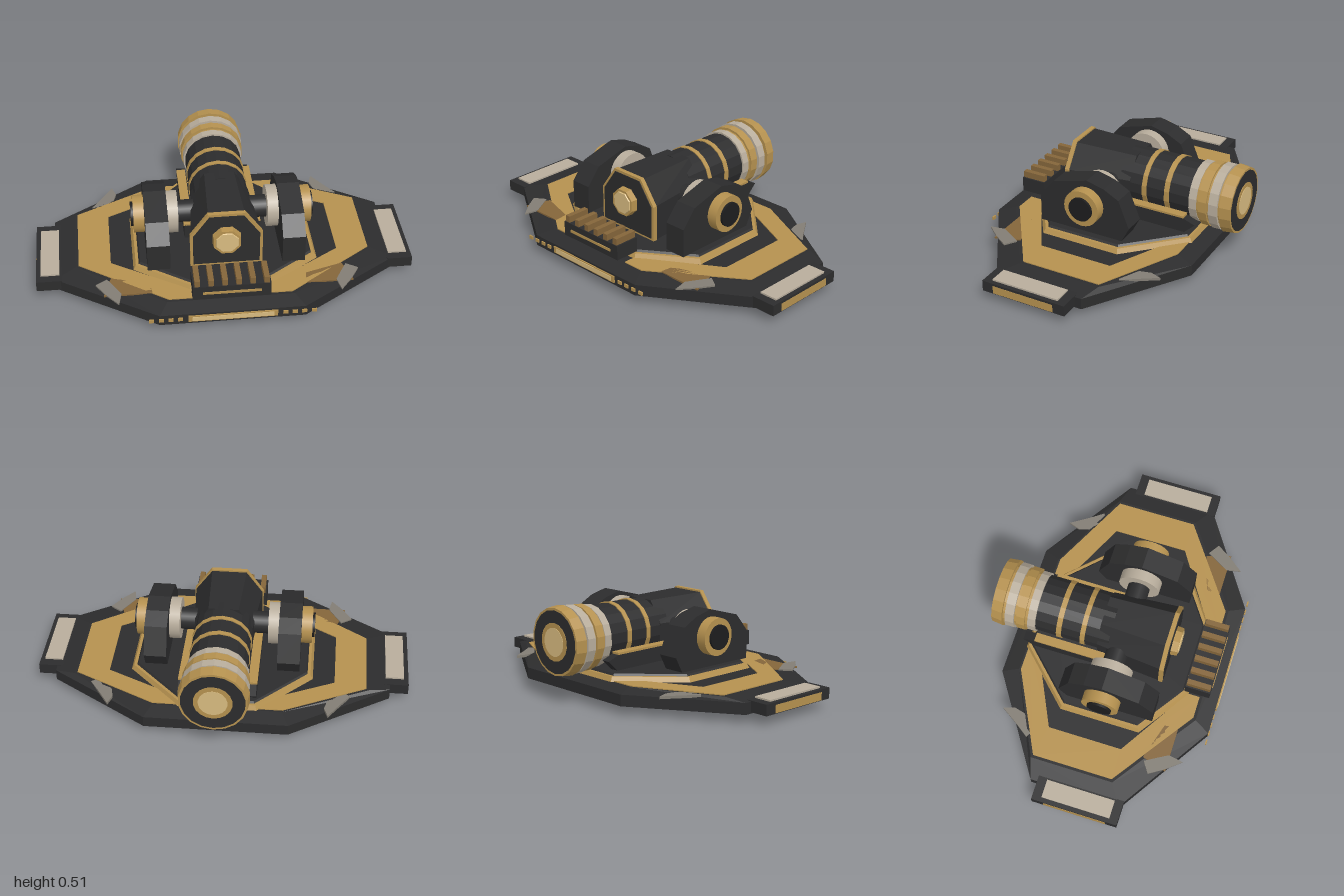
import * as THREE from 'three';

const mat = (name, color) => {
  const m = new THREE.MeshStandardMaterial({ color });
  m.name = name;
  return m;
};

export function createModel() {
  const charcoal = mat('charcoal', 0x2c2c2d);
  const black = mat('black', 0x1d1d1e);
  const gold = mat('gold', 0xb5914f);
  const bronze = mat('bronze', 0x84653a);
  const paleGold = mat('pale gold', 0xd8bb80);
  const cream = mat('cream', 0xb8ad9c);
  const stone = mat('stone', 0x827d74);
  const model = new THREE.Group();
  model.name = 'turret';

  const add = (name, geometry, material, x = 0, y = 0, z = 0) => {
    const mesh = new THREE.Mesh(geometry, material);
    mesh.name = name;
    mesh.position.set(x, y, z);
    model.add(mesh);
    return mesh;
  };
  const box = (name, m, w, h, d, x, y, z) => add(name, new THREE.BoxGeometry(w, h, d), m, x, y, z);

  // Stack of mirrored convex outlines; each section is [height, half outline of (x, z) from back to front]
  const loft = (sections) => {
    const rings = sections.map(([y, half]) => [
      ...half.map(([x, z]) => [x, y, z]),
      ...half.map(([x, z]) => [-x, y, z]).reverse(),
    ]);
    const out = [];
    const n = rings[0].length;
    for (let s = 0; s < rings.length - 1; s++) {
      for (let i = 0; i < n; i++) {
        const j = (i + 1) % n;
        const [a, b, c, d] = [rings[s][i], rings[s + 1][i], rings[s + 1][j], rings[s][j]];
        out.push(...a, ...b, ...c, ...a, ...c, ...d);
      }
    }
    const low = rings[0];
    const top = rings[rings.length - 1];
    for (let i = 1; i < n - 1; i++) {
      out.push(...low[0], ...low[i], ...low[i + 1], ...top[0], ...top[i + 1], ...top[i]);
    }
    const g = new THREE.BufferGeometry();
    g.setAttribute('position', new THREE.Float32BufferAttribute(out, 3));
    g.computeVertexNormals();
    return g;
  };
  const extrude = (points, depth) => new THREE.ExtrudeGeometry(
    new THREE.Shape(points.map(([a, b]) => new THREE.Vector2(a, b))), { depth, bevelEnabled: false });
  // Side profile of (z, y) points, extruded along x
  const sidePlate = (points, x0, x1) =>
    extrude(points.map(([z, y]) => [-z, y]), x1 - x0).rotateY(Math.PI / 2).translate(x0, 0, 0);
  // Plan of (x, z) points, extruded upwards
  const floorPlate = (points, side, y0, y1) =>
    extrude(points.map(([x, z]) => [x * side, -z]), y1 - y0).rotateX(-Math.PI / 2).translate(0, y0, 0);

  // Base
  add('lowerHull', loft([
    [0, [[0.27, -0.355], [0.63, -0.13], [0.63, 0.23], [0.27, 0.46]]],
    [0.05, [[0.29, -0.375], [0.665, -0.14], [0.665, 0.24], [0.29, 0.48]]],
  ]), charcoal);
  const rim = [[0.375, -0.537], [0.9, -0.195], [0.9, 0.295], [0.375, 0.635]];
  add('basePlate', loft([
    [0.045, rim], [0.105, rim],
    [0.122, [[0.34, -0.45], [0.79, -0.23], [0.79, 0.225], [0.33, 0.55]]],
  ]), charcoal);
  const deck = (k) => [[0.2 * k, -0.44 * k], [0.475 * k, -0.16 * k], [0.475 * k, 0.27 * k], [0.2 * k, 0.46 * k]];
  add('deckTrim', loft([[0.12, deck(1.03)], [0.147, deck(1)]]), gold);
  add('deck', loft([[0.145, deck(0.97)], [0.157, deck(0.95)]]), charcoal);

  // Front trim
  box('frontStrip', gold, 0.46, 0.036, 0.008, 0, 0.077, 0.638);
  box('frontLight', paleGold, 0.42, 0.024, 0.004, 0, 0.077, 0.643);

  // Ribbed front box
  box('ventBox', charcoal, 0.4, 0.08, 0.138, 0, 0.195, 0.517);
  box('ventStripe', gold, 0.3, 0.014, 0.006, 0, 0.195, 0.587);
  for (let i = 0; i < 6; i++) {
    box('ventRib', bronze, 0.028, 0.038, 0.13, (i - 2.5) * 0.071, 0.252, 0.517);
  }

  // Gun housing, with its front frame and lens
  add('housing', loft([
    [-0.06, [[0.08, -0.475], [0.155, -0.36], [0.155, -0.157]]],
    [0.295, [[0.095, -0.475], [0.185, -0.35], [0.185, -0.157]]],
  ]).rotateX(Math.PI / 2), charcoal);
  const face = [[0.097, -0.483], [0.19, -0.352], [0.19, -0.157]];
  add('housingFrame', loft([[0.294, face], [0.318, face]]).rotateX(Math.PI / 2), gold);
  const inner = face.map(([x, y]) => [x * 0.92, -0.31 + (y + 0.31) * 0.92]);
  add('housingFace', loft([[0.314, inner], [0.322, inner]]).rotateX(Math.PI / 2), charcoal);
  const disc = (r0, r1, length, sides) => {
    const g = new THREE.CylinderGeometry(r1, r0, length, sides);
    return (sides < 12 ? g.rotateY(Math.PI / sides) : g).rotateX(Math.PI / 2);
  };
  const flat = (g) => {
    const f = g.toNonIndexed();
    f.computeVertexNormals();
    return f;
  };
  add('lensFrame', flat(disc(0.08, 0.076, 0.04, 8)), gold, 0, 0.33, 0.338);
  add('lens', flat(disc(0.064, 0.06, 0.006, 8)), paleGold, 0, 0.33, 0.36);

  // Barrel rings: name, material, start z, end z, start radius, end radius
  [
    ['barrel', charcoal, 0, -0.41, 0.155, 0.155],
    ['barrelBand', gold, -0.132, -0.158, 0.16, 0.16],
    ['barrelBand', gold, -0.262, -0.29, 0.16, 0.16],
    ['muzzleCore', gold, -0.41, -0.6, 0.16, 0.165],
    ['muzzleRing', cream, -0.407, -0.45, 0.165, 0.165],
    ['muzzleRing', gold, -0.464, -0.51, 0.174, 0.174],
    ['muzzleRing', cream, -0.524, -0.573, 0.178, 0.178],
    ['muzzleRim', gold, -0.588, -0.648, 0.184, 0.177],
    ['muzzleFace', charcoal, -0.64, -0.65, 0.165, 0.165],
    ['muzzleBore', gold, -0.645, -0.653, 0.1, 0.1],
    ['muzzleCore', paleGold, -0.648, -0.655, 0.075, 0.075],
  ].forEach(([name, m, z0, z1, r0, r1]) =>
    add(name, flat(disc(r1, r0, z0 - z1, 18)), m, 0, 0.325, (z0 + z1) / 2));

  // Mirrored parts
  const span = (s, a, b) => (s > 0 ? [a, b] : [-b, -a]);
  for (const s of [1, -1]) {
    // Wing pods
    box('wingPod', charcoal, 0.135, 0.058, 0.472, s * 0.9325, 0.081, 0.078);
    box('podPanel', cream, 0.098, 0.009, 0.375, s * 0.927, 0.1145, 0.08);
    box('podSideLight', gold, 0.004, 0.042, 0.345, s * 0.9995, 0.076, 0.08);
    for (const x of [0.27, 0.318, 0.367, 0.418]) {
      box('frontDash', gold, 0.026, 0.018, 0.008, s * x, 0.077, 0.638);
    }

    // Painted chevron, corner wedge and worn patches
    add('chevron', floorPlate([[0.2, -0.44], [0.34, -0.44], [0.775, -0.222], [0.775, 0.217],
      [0.32, 0.535], [0.2, 0.535], [0.2, 0.47], [0.605, 0.215], [0.605, -0.19], [0.2, -0.385]], s, 0.12, 0.127), gold);
    add('cornerWedge', floorPlate([[0.61, 0.34], [0.41, 0.4], [0.4, 0.475], [0.65, 0.475]], s, 0.118, 0.127), bronze);
    add('frontPatch', floorPlate([[0.63, 0.35], [0.69, 0.39], [0.64, 0.47], [0.575, 0.55], [0.56, 0.47], [0.6, 0.4]], s, 0.122, 0.13), stone);
    add('backPatch', floorPlate([[0.575, -0.46], [0.64, -0.36], [0.69, -0.29], [0.66, -0.27], [0.57, -0.34], [0.555, -0.4]], s, 0.108, 0.122), stone);

    // Trunnion support with hub discs
    add('support', sidePlate([[0.33, 0.155], [0.33, 0.31], [0.25, 0.405], [0.05, 0.46], [-0.05, 0.435],
      [-0.135, 0.39], [-0.195, 0.24], [-0.15, 0.155]], ...span(s, 0.295, 0.415)), charcoal);
    const hub = (name, m, r, a, b) => add(name,
      new THREE.CylinderGeometry(r, r, b - a, 24).rotateZ(Math.PI / 2), m, s * (a + b) / 2, 0.322, 0.053);
    hub('outerHub', gold, 0.1, 0.41, 0.472);
    hub('hubCap', black, 0.066, 0.46, 0.485);
    hub('innerHub', cream, 0.113, 0.237, 0.3);
    hub('axle', charcoal, 0.06, 0.15, 0.24);

    // Pointed rail beside the barrel
    add('rail', sidePlate([[0.1, 0.175], [0.1, 0.255], [-0.39, 0.255], [-0.465, 0.228], [-0.405, 0.172]],
      ...span(s, 0.155, 0.203)), charcoal);
    add('railTrim', sidePlate([[0.1, 0.254], [0.1, 0.265], [-0.4, 0.265], [-0.4, 0.254]],
      ...span(s, 0.158, 0.206)), gold);
  }
  return model;
}
